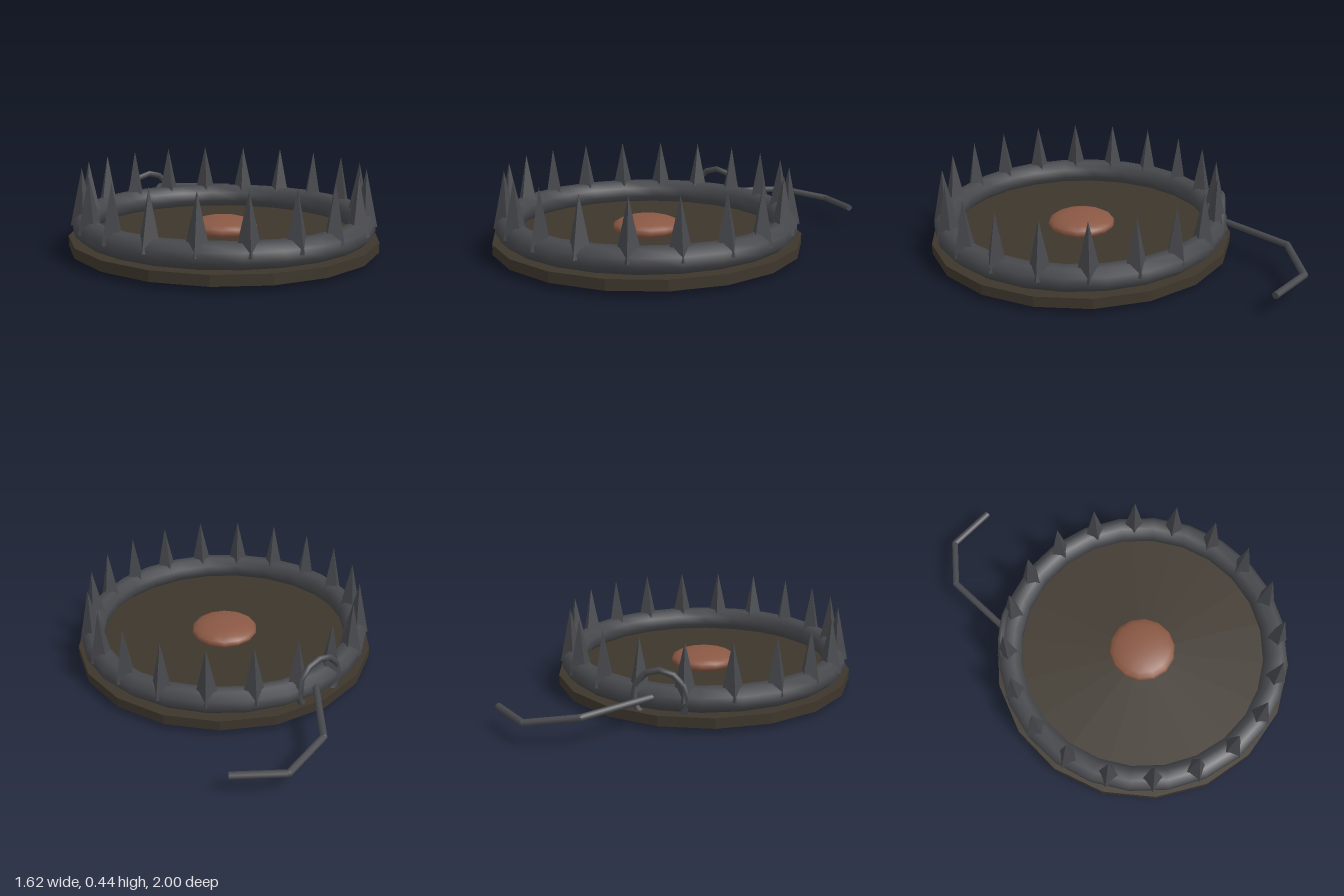
import * as THREE from 'three';

const iron = new THREE.MeshStandardMaterial({ color: 0x47484c });
const spikeIron = new THREE.MeshStandardMaterial({ color: 0x47484c, flatShading: true });
const wood = new THREE.MeshStandardMaterial({ color: 0x3d362c, flatShading: true });
const copper = new THREE.MeshStandardMaterial({ color: 0x8a5844 });

const JAW_RADIUS = 0.74;
const JAW_Y = 0.147;

function add(parent, name, geometry, material, x = 0, y = 0, z = 0) {
  const mesh = new THREE.Mesh(geometry, material);
  mesh.name = name;
  mesh.position.set(x, y, z);
  parent.add(mesh);
  return mesh;
}

// Round bar following straight segments, with a ball at each bend
function bentBar(name, points, radius) {
  const bar = new THREE.Group();
  bar.name = name;
  const up = new THREE.Vector3(0, 1, 0);
  for (let i = 0; i < points.length - 1; i++) {
    const [a, b] = [points[i], points[i + 1]];
    const dir = b.clone().sub(a);
    const mid = a.clone().lerp(b, 0.5);
    const link = add(bar, 'barSegment', new THREE.CylinderGeometry(radius, radius, dir.length(), 8), iron, ...mid.toArray());
    link.quaternion.setFromUnitVectors(up, dir.normalize());
    if (i > 0) add(bar, 'barBend', new THREE.SphereGeometry(radius, 8, 6), iron, ...a.toArray());
  }
  return bar;
}

export function createModel() {
  const model = new THREE.Group();
  model.name = 'jawTrap';

  // Everything round shares one centre, moved forward of the anchor bar
  const trap = new THREE.Group();
  trap.name = 'trap';
  trap.position.z = 0.175;
  model.add(trap);

  // Base disc
  add(trap, 'base', new THREE.CylinderGeometry(0.825, 0.825, 0.055, 18), wood, 0, 0.0525, 0);

  // Pressure plate: flattened ball
  add(trap, 'pressurePlate', new THREE.SphereGeometry(0.185, 14, 10).scale(1, 0.3, 1), copper, 0, 0.115, 0);

  // Two half-ring jaws with an octagonal section
  const section = [];
  for (let i = 0; i <= 8; i++) {
    const a = (i - 2.5) * Math.PI / 4;
    section.push(new THREE.Vector2(JAW_RADIUS + 0.067 * Math.cos(a), 0.067 * Math.sin(a)));
  }
  for (const [name, start] of [['frontJaw', -Math.PI / 2], ['backJaw', Math.PI / 2]]) {
    add(trap, name, new THREE.LatheGeometry(section, 12, start, Math.PI), iron, 0, JAW_Y, 0);
  }

  // Four-sided teeth, one corner pointing outward
  const tooth = new THREE.ConeGeometry(0.065, 0.3, 4);
  for (let i = 0; i < 20; i++) {
    const a = (i + 0.5) * Math.PI / 10;
    add(trap, 'tooth', tooth, spikeIron, 0.745 * Math.sin(a), 0.295, 0.745 * Math.cos(a)).rotation.y = a;
  }

  // Anchor ring at the back
  add(model, 'anchorRing', new THREE.TorusGeometry(0.14, 0.017, 8, 12), iron, 0, 0.157, -0.595);

  // Bent anchor bar trailing from the ring
  model.add(bentBar('anchorBar', [
    new THREE.Vector3(0.025, 0.16, -0.6),
    new THREE.Vector3(0.28, 0.145, -0.925),
    new THREE.Vector3(0.55, 0.11, -0.982),
    new THREE.Vector3(0.765, 0.107, -0.82),
  ], 0.018));

  return model;
}
